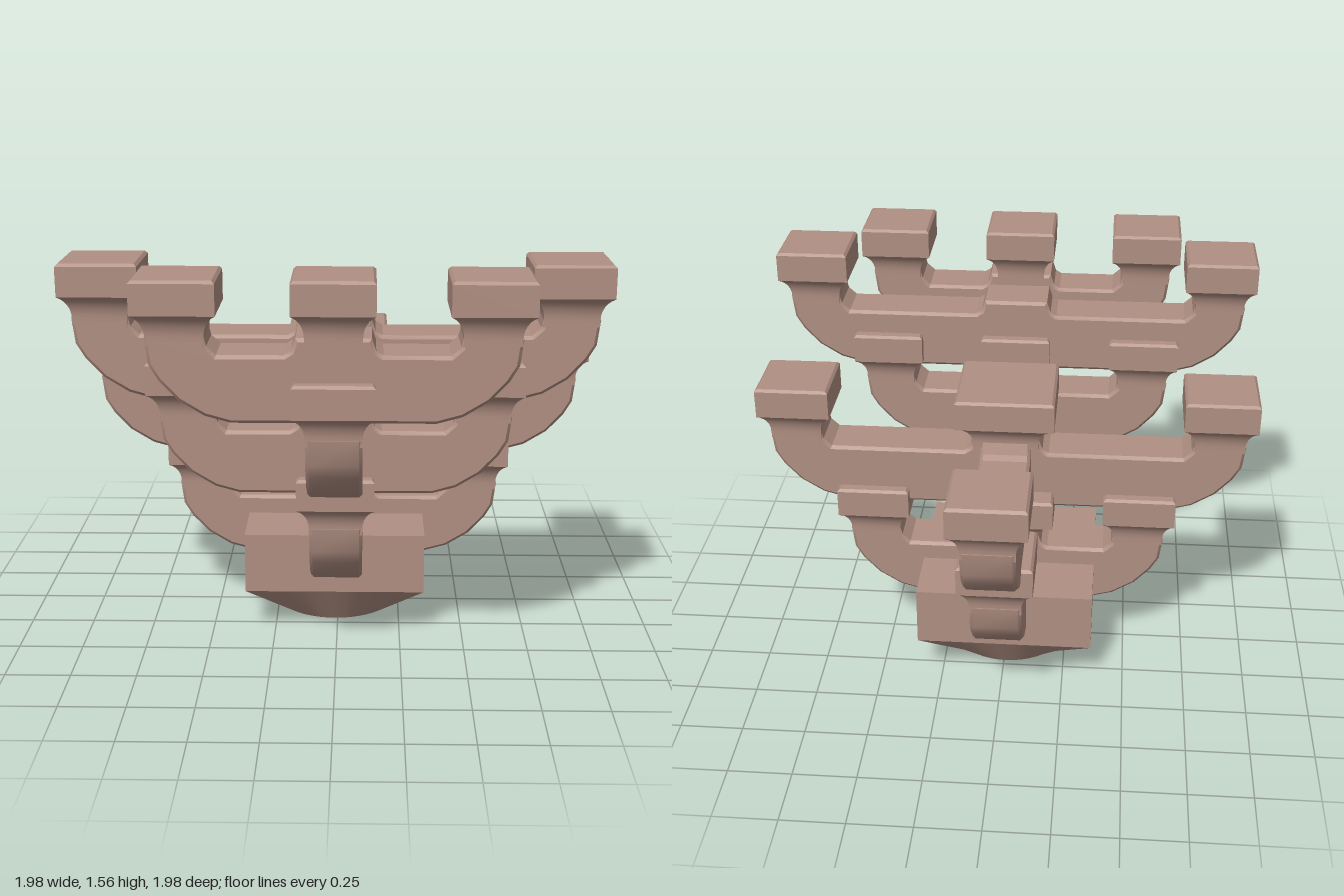
import * as THREE from 'three';
import { toCreasedNormals } from 'three/addons/utils/BufferGeometryUtils.js';

const wood = new THREE.MeshStandardMaterial({ color: 0xb08f82 });
const CAP = 0.145, BIG = 0.195;      // half widths of bearing blocks
const SHORT = 0.645, LONG = 0.95;    // half lengths of bracket arms

// Bow-shaped arm: flat middle with raised pad, curved ends turned up
function armGeometry(half) {
  const right = [
    [half - 0.29, 0.005], [half - 0.2, 0.03], [half - 0.11, 0.085], [half - 0.045, 0.155],
    [half - 0.012, 0.21], [half, 0.305],
    [half - 0.205, 0.305], [half - 0.212, 0.275], [half - 0.245, 0.245],
    [0.17, 0.245], [0.145, 0.26], [0.13, 0.305],
  ];
  const left = right.map(([x, y]) => [-x, y]).reverse();
  const shape = new THREE.Shape([...right, ...left].map(([x, y]) => new THREE.Vector2(x, y)));
  const b = 0.012;
  const geo = new THREE.ExtrudeGeometry(shape, {
    depth: 0.2 - 2 * b, bevelEnabled: true, bevelSize: b, bevelOffset: -b, bevelThickness: b, bevelSegments: 1,
  });
  geo.translate(0, 0, -0.1 + b);
  return toCreasedNormals(geo, 0.5);
}

// Square bearing block on a concave flared neck
function blockGeometry(half, neck) {
  const pts = [[0, 0.28], [neck, 0.28], [neck, 0.305]];
  for (let i = 1; i <= 6; i++) {
    const a = (i / 6) * 1.15;
    const k = (1 - Math.cos(a)) / (1 - Math.cos(1.15));
    pts.push([neck + (half - neck) * k, 0.305 + 0.085 * Math.sin(a) / Math.sin(1.15)]);
  }
  pts.push([half, 0.5], [half - 0.01, 0.51], [0, 0.51]);
  const geo = new THREE.LatheGeometry(
    pts.map(([r, y]) => new THREE.Vector2(r * Math.SQRT2, y)), 4, Math.PI / 4);
  return toCreasedNormals(geo, 0.5);
}

// Base block: round foot flaring into a square body
function baseGeometry() {
  const rows = [[0, 0.02], [0.25, 0.02], [0.355, 0.18], [0.355, 0.42], [0, 0.42]];
  const geo = new THREE.LatheGeometry(rows.map(([r, y]) => new THREE.Vector2(r, y)), 48);
  const p = geo.attributes.position;
  for (let i = 0; i < p.count; i++) {
    const x = p.getX(i), z = p.getZ(i), m = Math.max(Math.abs(x), Math.abs(z));
    if (p.getY(i) < 0.1 || m < 1e-6) continue;
    const k = Math.hypot(x, z) / m;
    p.setX(i, x * k);
    p.setZ(i, z * k);
  }
  return toCreasedNormals(geo, 0.4);
}

export function createModel() {
  const model = new THREE.Group();
  model.name = 'bracketSet';
  const shortArm = armGeometry(SHORT), longArm = armGeometry(LONG);
  const smallBlock = blockGeometry(CAP, 0.1), bigBlock = blockGeometry(BIG, 0.13);

  const add = (name, geo, x = 0, y = 0, z = 0, parent = model) => {
    const mesh = new THREE.Mesh(geo, wood);
    mesh.name = name;
    mesh.position.set(x, y, z);
    parent.add(mesh);
    return mesh;
  };

  // Arm with a bearing block on each end and optionally one in the middle
  const bracket = (name, half, y, z, { turned = false, middle = null } = {}) => {
    const g = new THREE.Group();
    g.name = name;
    g.position.set(0, y, z);
    if (turned) g.rotation.y = Math.PI / 2;
    add('arm', half === LONG ? longArm : shortArm, 0, 0, 0, g);
    for (const s of [-1, 1]) add('endBlock', smallBlock, s * (half - 0.105), 0, 0, g);
    if (middle) add('middleBlock', middle, 0, 0, 0, g);
    model.add(g);
  };

  // Base and pin
  add('baseBlock', baseGeometry(), -0.01, 0, 0);
  add('basePin', new THREE.CylinderGeometry(0.013, 0.013, 0.03, 12), 0, 0.015, 0);

  // Lower tier: crossing short arms
  bracket('lowerCrossArm', SHORT, 0.25, 0, { middle: bigBlock });
  bracket('lowerDepthArm', SHORT, 0.25, 0, { turned: true });

  // Middle tier: crossing long arms and a short arm in front
  bracket('middleCrossArm', LONG, 0.69, 0, { middle: bigBlock });
  bracket('middleDepthArm', LONG, 0.69, 0, { turned: true });
  bracket('middleFrontArm', SHORT, 0.69, 0.54, { middle: smallBlock });

  // Upper tier: two parallel arms at the front
  bracket('upperLongArm', LONG, 1.05, 0.54);
  bracket('upperFrontArm', SHORT, 1.05, 0.845, { middle: smallBlock });

  return model;
}
